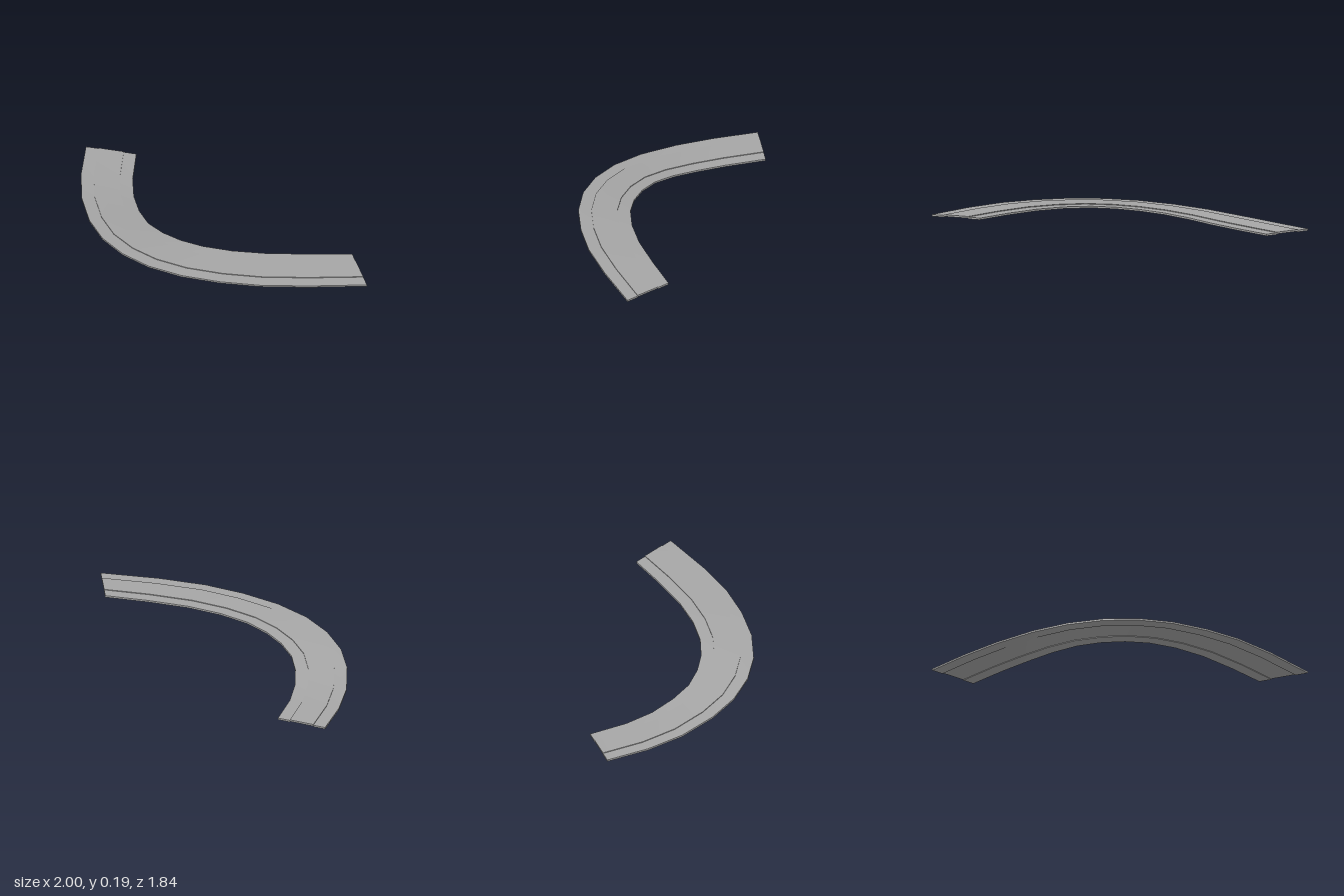
import * as THREE from 'three';
import { toCreasedNormals } from 'three/addons/utils/BufferGeometryUtils.js';

// Stations along the rising bend: outer x, outer z, inner x, inner z, top height
const STATIONS = [
  [-0.96, -0.92, -0.605, -0.83, 0.018],
  [-1.0, -0.6, -0.635, -0.54, 0.022],
  [-1.0, -0.31, -0.63, -0.32, 0.035],
  [-0.95, -0.02, -0.595, -0.12, 0.06],
  [-0.86, 0.22, -0.535, 0.05, 0.083],
  [-0.72, 0.43, -0.435, 0.19, 0.106],
  [-0.54, 0.6, -0.31, 0.305, 0.126],
  [-0.31, 0.735, -0.155, 0.4, 0.144],
  [-0.04, 0.83, 0.05, 0.475, 0.159],
  [0.24, 0.89, 0.3, 0.525, 0.171],
  [0.58, 0.915, 0.6, 0.547, 0.18],
  [1.0, 0.915, 0.9, 0.557, 0.185],
];
const THICKNESS = 0.013;
const STEP = 0.005;

// Slab swept along the bend between two fractions of its width (0 outer, 1 inner)
function slab(u0, u1, drop) {
  const positions = [];
  const index = [];
  for (const [ox, oz, ix, iz, y] of STATIONS) {
    const top = y - drop;
    for (const [u, h] of [[u0, top], [u1, top], [u1, top - THICKNESS], [u0, top - THICKNESS]]) {
      positions.push(ox + (ix - ox) * u, h, oz + (iz - oz) * u);
    }
  }
  const quad = (a, b, c, d) => index.push(a, b, c, a, c, d);
  for (let s = 0; s < STATIONS.length - 1; s++) {
    for (let i = 0; i < 4; i++) {
      const j = (i + 1) % 4;
      const a = s * 4;
      quad(a + i, a + 4 + i, a + 4 + j, a + j);
    }
  }
  // End caps
  const e = (STATIONS.length - 1) * 4;
  quad(0, 1, 2, 3);
  quad(e + 3, e + 2, e + 1, e);

  const geometry = new THREE.BufferGeometry();
  geometry.setAttribute('position', new THREE.Float32BufferAttribute(positions, 3));
  geometry.setIndex(index);
  return toCreasedNormals(geometry, 0.5);
}

export function createModel() {
  const group = new THREE.Group();
  group.name = 'curvedRamp';
  const concrete = new THREE.MeshStandardMaterial({ color: 0xa6a6a6 });
  concrete.name = 'concreteGrey';

  // Raised middle deck with a slightly lower strip along each side
  const parts = [
    ['outerEdgeStrip', 0, 0.25, STEP],
    ['roadDeck', 0.25, 0.75, 0],
    ['innerEdgeStrip', 0.75, 1, STEP],
  ];
  for (const [name, u0, u1, drop] of parts) {
    const mesh = new THREE.Mesh(slab(u0, u1, drop), concrete);
    mesh.name = name;
    group.add(mesh);
  }
  return group;
}
